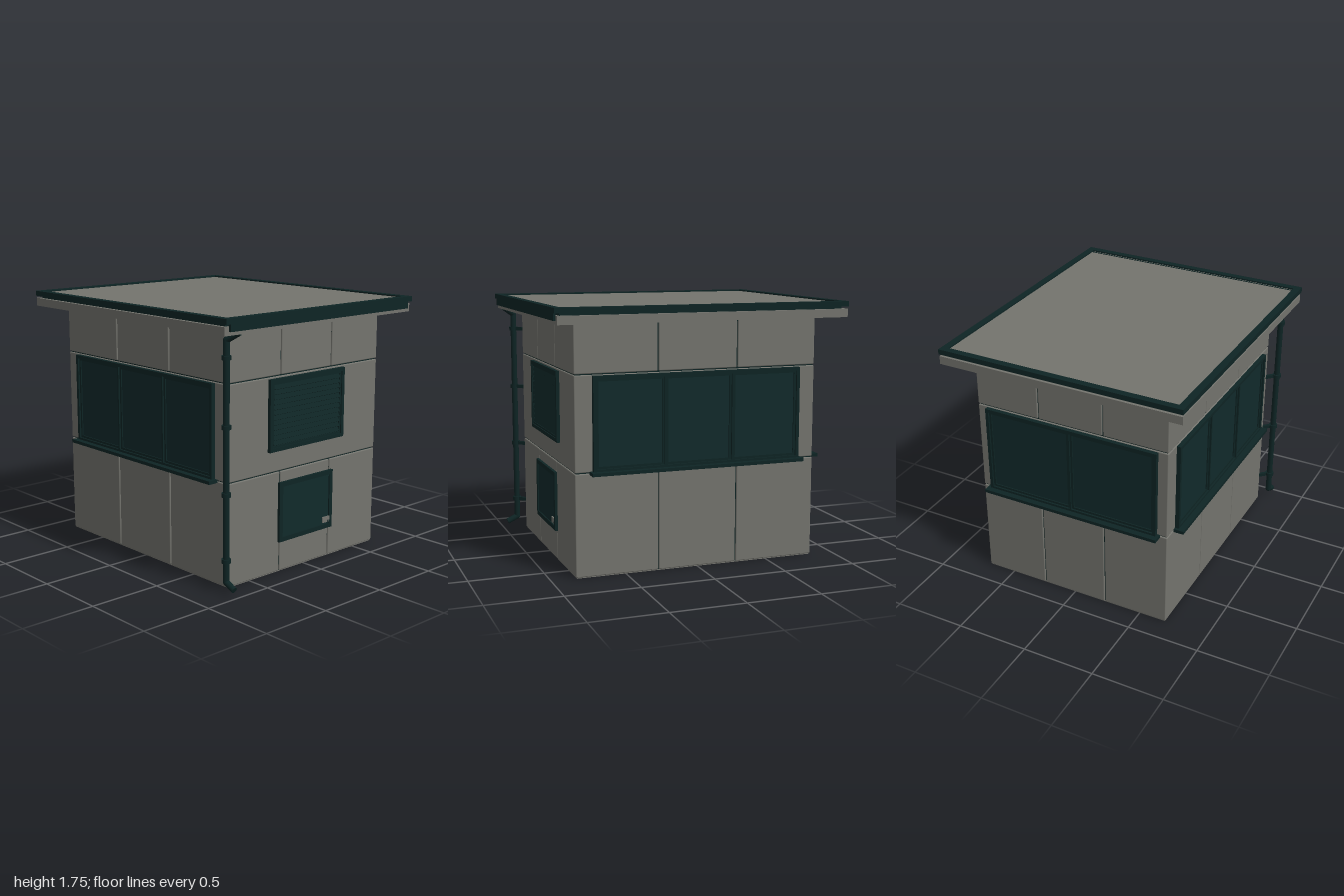
import * as THREE from 'three';
import { RoundedBoxGeometry } from 'three/addons/geometries/RoundedBoxGeometry.js';

const wallGrey = new THREE.MeshStandardMaterial({ name: 'wallGrey', color: 0x74746e });
const trimDark = new THREE.MeshStandardMaterial({ name: 'trimDark', color: 0x0e2424 });
const glassDark = new THREE.MeshStandardMaterial({ name: 'glassDark', color: 0x112a2b });

function add(parent, name, geo, mat, x = 0, y = 0, z = 0) {
  const m = new THREE.Mesh(geo, mat);
  m.name = name;
  m.position.set(x, y, z);
  parent.add(m);
  return m;
}
const box = (parent, name, mat, w, h, d, x, y, z) =>
  add(parent, name, new THREE.BoxGeometry(w, h, d), mat, x, y, z);

// Rectangular plate with rectangular holes [x, y, w, h], extruded along +z
function frame(w, h, depth, holes) {
  const rect = (P, x, y, rw, rh) => {
    const p = new P();
    p.moveTo(x - rw / 2, y - rh / 2);
    p.lineTo(x + rw / 2, y - rh / 2);
    p.lineTo(x + rw / 2, y + rh / 2);
    p.lineTo(x - rw / 2, y + rh / 2);
    p.closePath();
    return p;
  };
  const s = rect(THREE.Shape, 0, 0, w, h);
  for (const q of holes) s.holes.push(rect(THREE.Path, ...q));
  return new THREE.ExtrudeGeometry(s, { depth, bevelEnabled: false });
}

// Window with panes, sashes and sill; local +z points out of the wall
function makeWindow(name, width, panes) {
  const g = new THREE.Group();
  g.name = name;
  const h = 0.62, edge = 0.022, bar = 0.012;
  const pw = (width - 2 * edge - (panes - 1) * bar) / panes;
  const ph = h - 2 * edge;
  const holes = [];
  for (let i = 0; i < panes; i++) {
    const x = -width / 2 + edge + pw / 2 + i * (pw + bar);
    holes.push([x, 0, pw, ph]);
    add(g, 'sash', frame(pw, ph, 0.018, [[0, 0, pw - 0.03, ph - 0.03]]), trimDark, x, 0, 0);
    box(g, 'pane', glassDark, pw - 0.03, ph - 0.03, 0.009, x, 0, 0.0055);
  }
  add(g, 'windowFrame', frame(width, h, 0.03, holes), trimDark);
  box(g, 'sill', trimDark, width + 0.04, 0.022, 0.07, 0, -h / 2 - 0.004, 0.035);
  return g;
}

export function createModel() {
  const model = new THREE.Group();
  model.name = 'guardBooth';
  const X = 0.695, Z = 0.838;

  // Wall panels around a dark core that shows through the joints
  const walls = new THREE.Group();
  walls.name = 'walls';
  model.add(walls);
  box(walls, 'core', trimDark, 2 * X - 0.02, 1.64, 2 * Z - 0.02, 0, 0.826, 0);
  box(walls, 'floor', wallGrey, 2 * X - 0.012, 0.006, 2 * Z - 0.012, 0, 0.003, 0);
  const gap = 0.007;
  const xs = [-X, -0.235, 0.235, X], zs = [-Z, -0.275, 0.275, Z];
  for (const [y0, y1] of [[0.006, 0.684], [1.322, 1.64]]) {
    for (let i = 0; i < 3; i++) for (let j = 0; j < 3; j++) {
      if (i === 1 && j === 1) continue;
      // Gap only on sides that meet another panel
      const a = xs[i] + (i > 0 ? gap / 2 : 0), b = xs[i + 1] - (i < 2 ? gap / 2 : 0);
      const c = zs[j] + (j > 0 ? gap / 2 : 0), d = zs[j + 1] - (j < 2 ? gap / 2 : 0);
      add(walls, 'wallPanel', new RoundedBoxGeometry(b - a, y1 - y0, d - c, 2, 0.007), wallGrey,
        (a + b) / 2, (y0 + y1) / 2, (c + d) / 2);
    }
  }
  add(walls, 'middleBand', new RoundedBoxGeometry(2 * X, 0.624, 2 * Z, 2, 0.007), wallGrey, 0, 1.003, 0);

  // Windows on both sides and the back
  for (const s of [-1, 1]) {
    const w = makeWindow(s > 0 ? 'leftWindow' : 'rightWindow', 1.44, 3);
    w.position.set(s * (X - 0.001), 1.0, 0);
    w.rotation.y = s * Math.PI / 2;
    model.add(w);
  }
  const back = makeWindow('backWindow', 1.25, 2);
  back.position.set(0, 1.0, -Z + 0.001);
  back.rotation.y = Math.PI;
  model.add(back);

  // Louvred vent
  const vent = new THREE.Group();
  vent.name = 'vent';
  vent.position.set(-0.002, 1.067, Z - 0.001);
  model.add(vent);
  add(vent, 'ventFrame', frame(0.695, 0.475, 0.024, [[0, 0, 0.645, 0.425]]), trimDark);
  add(vent, 'ventInnerFrame', frame(0.645, 0.425, 0.017, [[0, 0, 0.62, 0.4]]), trimDark);
  box(vent, 'ventBack', trimDark, 0.63, 0.41, 0.006, 0, 0, 0.003);
  for (let i = 0; i < 12; i++) {
    const slat = box(vent, 'slat', trimDark, 0.62, 0.03, 0.005, 0, -0.182 + i * 0.0331, 0.012);
    slat.rotation.x = -0.5;
  }

  // Service hatch with a pale latch plate
  const hatch = new THREE.Group();
  hatch.name = 'hatch';
  hatch.position.set(0, 0.41, Z - 0.001);
  model.add(hatch);
  add(hatch, 'hatchFrame', frame(0.505, 0.405, 0.02, [[0, 0, 0.445, 0.345]]), trimDark);
  box(hatch, 'hatchDoor', glassDark, 0.44, 0.34, 0.014, 0, 0, 0.007);
  box(hatch, 'latchPlate', wallGrey, 0.066, 0.04, 0.008, 0.193, -0.14, 0.018);
  box(hatch, 'latchSlot', trimDark, 0.012, 0.012, 0.003, 0.212, -0.152, 0.0225);

  // Roof: soffit slab, recessed layer, rim and top sheet
  const roof = new THREE.Group();
  roof.name = 'roof';
  model.add(roof);
  box(roof, 'soffitSlab', wallGrey, 1.71, 0.055, 1.975, 0, 1.6725, -0.0075);
  box(roof, 'recessedLayer', trimDark, 1.66, 0.02, 1.92, 0, 1.708, 0);
  const rim = add(roof, 'roofRim', frame(1.715, 2, 0.035, [[0, 0, 1.62, 1.905]]), trimDark, 0, 1.715, 0);
  rim.rotation.x = -Math.PI / 2;
  box(roof, 'roofSheet', wallGrey, 1.63, 0.025, 1.915, 0, 1.7275, 0);
  box(roof, 'roofFlashing', trimDark, 1.615, 0.004, 0.008, 0, 1.741, 0.936);
  box(roof, 'gutter', trimDark, 1.64, 0.046, 0.018, 0, 1.692, 0.988);

  // Downpipe standing off the front corner
  const pipe = new THREE.Group();
  pipe.name = 'downpipe';
  model.add(pipe);
  const px = -0.756, pz = 0.89;
  const path = new THREE.CurvePath();
  const pts = [[-0.72, 1.655, 0.965], [px, 1.605, pz], [px, 0.075, pz], [px, 0.04, 0.965]]
    .map(p => new THREE.Vector3(...p));
  for (let i = 0; i < 3; i++) {
    const [a, b] = [pts[i], pts[i + 1]];
    const len = a.distanceTo(b);
    const seg = add(pipe, 'pipeSection', new THREE.CylinderGeometry(0.021, 0.021, len, 12), trimDark);
    seg.position.copy(a).lerp(b, 0.5);
    seg.quaternion.setFromUnitVectors(new THREE.Vector3(0, 1, 0), b.clone().sub(a).normalize());
    if (i < 2) add(pipe, 'elbow', new THREE.SphereGeometry(0.021, 12, 8), trimDark, b.x, b.y, b.z);
  }
  for (const y of [0.215, 0.643, 1.07, 1.498]) {
    add(pipe, 'pipeClamp', new THREE.CylinderGeometry(0.031, 0.031, 0.026, 12), trimDark, px, y, pz);
    const arm = box(pipe, 'clampArm', trimDark, 0.09, 0.024, 0.02, -0.722, y, 0.861);
    arm.rotation.y = Math.PI / 4;
  }
  return model;
}
